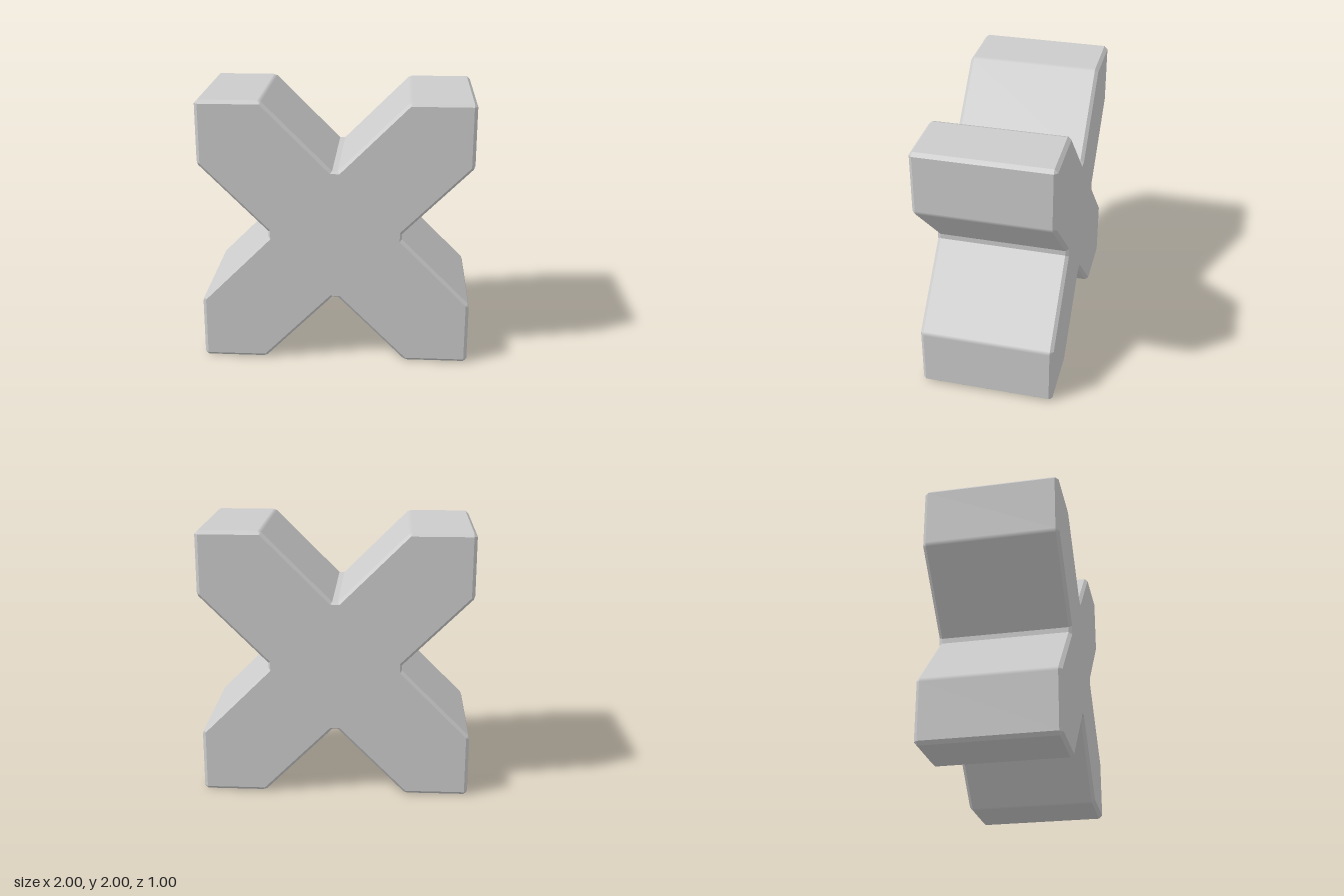
import * as THREE from 'three';

// One arm of the cross, counter-clockwise: outer outline and the inset outline of the faces
const OUTER = [[0.49, 0.02], [0.99, 0.52], [1, 0.55], [1, 0.975], [0.975, 1], [0.55, 1], [0.52, 0.99], [0.02, 0.49]];
const INSET = [[0.475, 0.035], [0.975, 0.535], [0.975, 0.535], [0.975, 0.975], [0.975, 0.975], [0.535, 0.975], [0.535, 0.975], [0.035, 0.475]];
const SOFT = [1, 5]; // small corner segments that blend into their neighbours

// Repeat an arm four times by quarter turns
function ring(arm, z) {
  const points = [];
  for (let q = 0; q < 4; q++) {
    for (const [x, y] of arm) {
      points.push(new THREE.Vector3(x, y, z).applyAxisAngle(new THREE.Vector3(0, 0, 1), q * Math.PI / 2));
    }
  }
  return points;
}

function crossGeometry() {
  const positions = [], normals = [];
  const triangle = (pts, nrm) => {
    const [a, b, c] = pts;
    if (b.clone().sub(a).cross(c.clone().sub(a)).length() < 1e-7) return;
    pts.forEach((p, i) => {
      positions.push(p.x, p.y, p.z);
      normals.push(nrm[i].x, nrm[i].y, nrm[i].z);
    });
  };

  // Bevels and side walls between neighbouring rings, back to front
  const rings = [ring(INSET, -0.5), ring(OUTER, -0.475), ring(OUTER, 0.475), ring(INSET, 0.5)];
  for (let r = 0; r < 3; r++) {
    const lower = rings[r], upper = rings[r + 1], n = lower.length;
    const flat = lower.map((a, i) => {
      const j = (i + 1) % n;
      return upper[j].clone().sub(a).cross(upper[i].clone().sub(lower[j])).normalize();
    });
    for (let i = 0; i < n; i++) {
      const j = (i + 1) % n;
      const soft = SOFT.includes(i % OUTER.length);
      const start = soft ? flat[(i + n - 1) % n] : flat[i];
      const end = soft ? flat[j] : flat[i];
      triangle([lower[i], lower[j], upper[j]], [start, end, end]);
      triangle([lower[i], upper[j], upper[i]], [start, end, start]);
    }
  }

  // Flat front and back faces
  for (const side of [1, -1]) {
    const face = ring(INSET, side * 0.5).filter((p, i, all) => p.distanceTo(all[(i + 1) % all.length]) > 1e-5);
    const normal = new THREE.Vector3(0, 0, side);
    const outline = face.map((p) => new THREE.Vector2(p.x, p.y));
    for (const [a, b, c] of THREE.ShapeUtils.triangulateShape(outline, [])) {
      const order = side > 0 ? [a, b, c] : [a, c, b];
      triangle(order.map((k) => face[k]), [normal, normal, normal]);
    }
  }

  const geometry = new THREE.BufferGeometry();
  geometry.setAttribute('position', new THREE.Float32BufferAttribute(positions, 3));
  geometry.setAttribute('normal', new THREE.Float32BufferAttribute(normals, 3));
  return geometry;
}

export function createModel() {
  const group = new THREE.Group();
  group.name = 'crossBlock';
  const cross = new THREE.Mesh(crossGeometry(), new THREE.MeshStandardMaterial({ color: 0xcccccc }));
  cross.name = 'cross';
  cross.position.y = 1;
  group.add(cross);
  return group;
}
